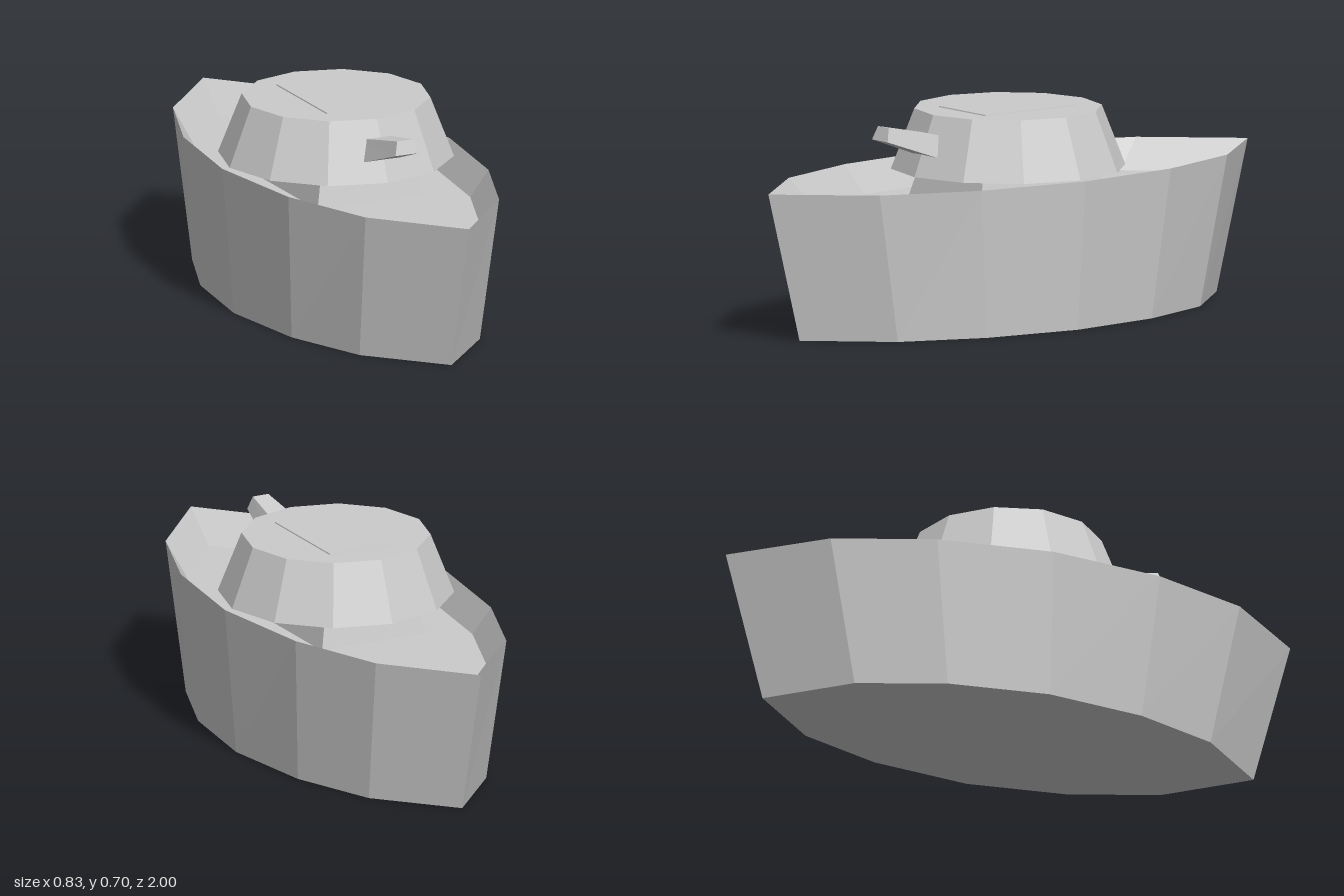
import * as THREE from 'three';

const material = new THREE.MeshStandardMaterial({ color: 0xcccccc, flatShading: true });

// Skin a stack of closed rings and cap both ends; rings run counter-clockwise about the stacking direction.
function loft(rings) {
  const pos = [];
  const tri = (...pts) => pts.forEach((p) => pos.push(...p));
  const centre = (r) => [0, 1, 2].map((k) => r.reduce((s, p) => s + p[k], 0) / r.length);
  const n = rings[0].length;
  const first = rings[0], last = rings[rings.length - 1];
  for (let i = 0; i < n; i++) {
    const j = (i + 1) % n;
    for (let r = 0; r < rings.length - 1; r++) {
      const a = rings[r], b = rings[r + 1];
      tri(a[i], a[j], b[j]);
      tri(a[i], b[j], b[i]);
    }
    tri(centre(first), first[j], first[i]);
    tri(centre(last), last[i], last[j]);
  }
  const g = new THREE.BufferGeometry();
  g.setAttribute('position', new THREE.Float32BufferAttribute(pos, 3));
  g.computeVertexNormals();
  return g;
}

function add(group, name, geometry) {
  const mesh = new THREE.Mesh(geometry, material);
  mesh.name = name;
  group.add(mesh);
  return mesh;
}

export function createModel() {
  const model = new THREE.Group();
  model.name = 'gunboat';

  // Hull: pointed outline, flared sides, sharp rim and a sunken deck
  const side = [[0, 1], [0.245, 0.725], [0.367, 0.395], [0.417, 0], [0.367, -0.395], [0.245, -0.725]];
  const outline = [...side, ...side.map(([x, z]) => [-x, -z])];
  const hullRing = (y, sx, sz) => outline.map(([x, z]) => [x * sx, y, z * sz]);
  add(model, 'hull', loft([hullRing(0, 0.9, 0.87), hullRing(0.5, 1, 1), hullRing(0.4, 0.88, 0.88)]));

  // Tapered pedestal rising from the deck through the turret
  const rect = (y, w, d) => [[-w, y, d], [w, y, d], [w, y, -d], [-w, y, -d]];
  add(model, 'pedestal', loft([rect(0.395, 0.197, 0.265), rect(0.704, 0.125, 0.19)]));

  // Twelve-sided turret
  const turret = add(model, 'turret', new THREE.CylinderGeometry(0.312, 0.39, 0.2, 12));
  turret.position.y = 0.6;

  // Raised gun with a trapezoid section, narrowing to the muzzle
  const section = (yb, zb, wb, yt, zt, wt) => [[-wb, yb, zb], [wb, yb, zb], [wt, yt, zt], [-wt, yt, zt]];
  add(model, 'gun', loft([
    section(0.536, 0.255, 0.078, 0.62, 0.23, 0.052),
    section(0.635, 0.535, 0.042, 0.68, 0.52, 0.029),
  ]));

  return model;
}
